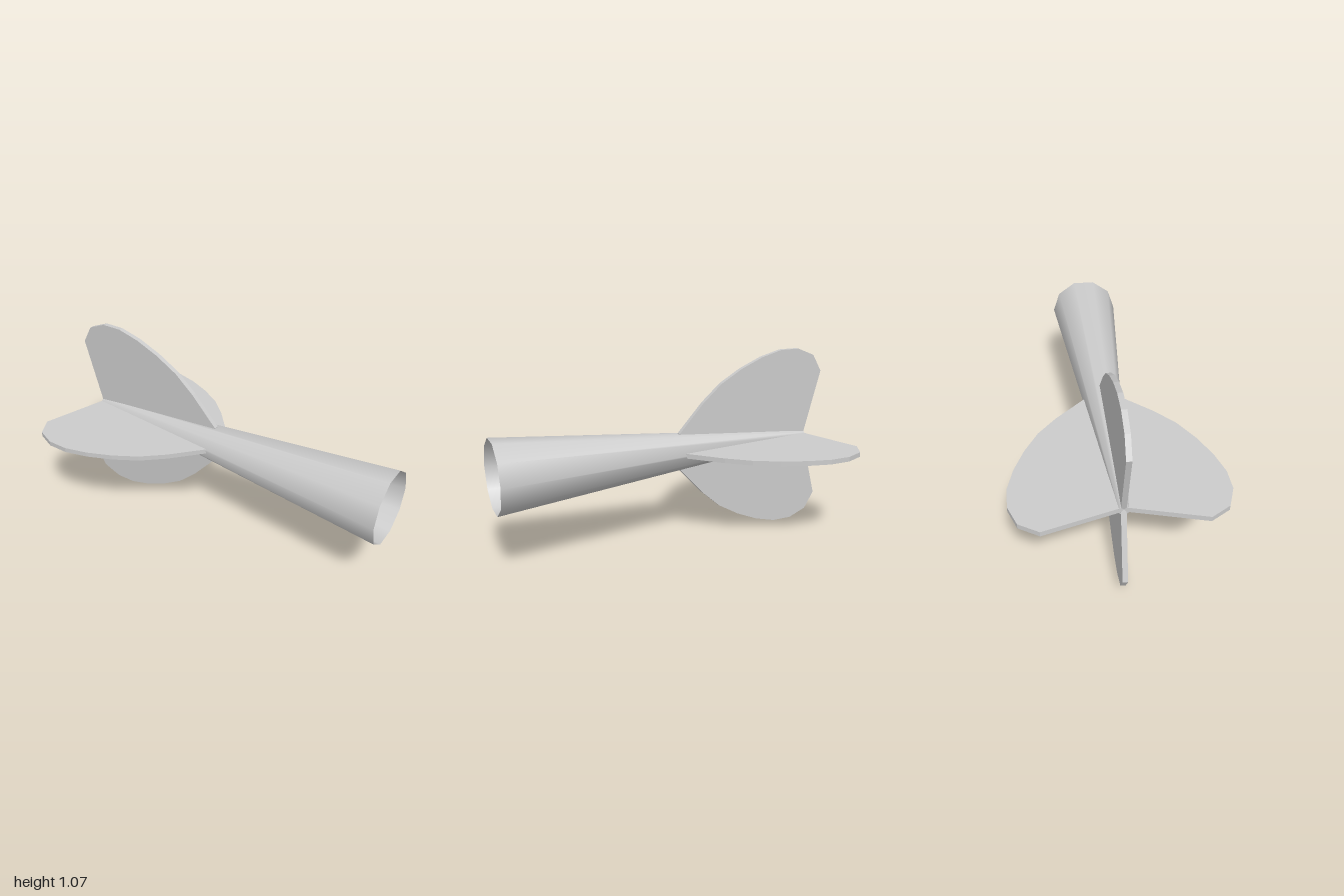
import * as THREE from 'three';

const AXIS_Y = 0.536;   // height of the dart's axis
const FIN_THICKNESS = 0.027;

export function createModel() {
  const group = new THREE.Group();
  const grey = new THREE.MeshStandardMaterial({ color: 0xcccccc, side: THREE.DoubleSide });
  const flatGrey = new THREE.MeshStandardMaterial({ color: 0xcccccc, flatShading: true });

  // Open ten-sided cone, flaring towards +x
  const bodyGeometry = new THREE.CylinderGeometry(0.2025, 0.028, 1.9, 10, 1, true);
  bodyGeometry.rotateZ(-Math.PI / 2);
  const body = new THREE.Mesh(bodyGeometry, grey);
  body.name = 'coneBody';
  body.position.set(0.05, AXIS_Y, 0);
  group.add(body);

  // Fin outline: x along the axis, y outwards from it
  const outline = [
    [-0.893, 0], [-0.05, 0], [-0.05, 0.104], [-0.2, 0.268], [-0.315, 0.369],
    [-0.445, 0.444], [-0.58, 0.501], [-0.71, 0.535], [-0.83, 0.535],
    [-0.94, 0.491], [-1, 0.391],
  ].map(([x, y]) => new THREE.Vector2(x, y));
  const finGeometry = new THREE.ExtrudeGeometry(new THREE.Shape(outline), {
    depth: FIN_THICKNESS, bevelEnabled: false,
  });
  finGeometry.translate(0, 0, -FIN_THICKNESS / 2);

  // Four fins, a quarter turn apart
  ['topFin', 'leftSideFin', 'bottomFin', 'rightSideFin'].forEach((name, i) => {
    const fin = new THREE.Mesh(finGeometry, flatGrey);
    fin.name = name.replace('leftSide', 'front').replace('rightSide', 'back');
    fin.position.y = AXIS_Y;
    fin.rotation.x = i * Math.PI / 2;
    group.add(fin);
  });

  return group;
}
